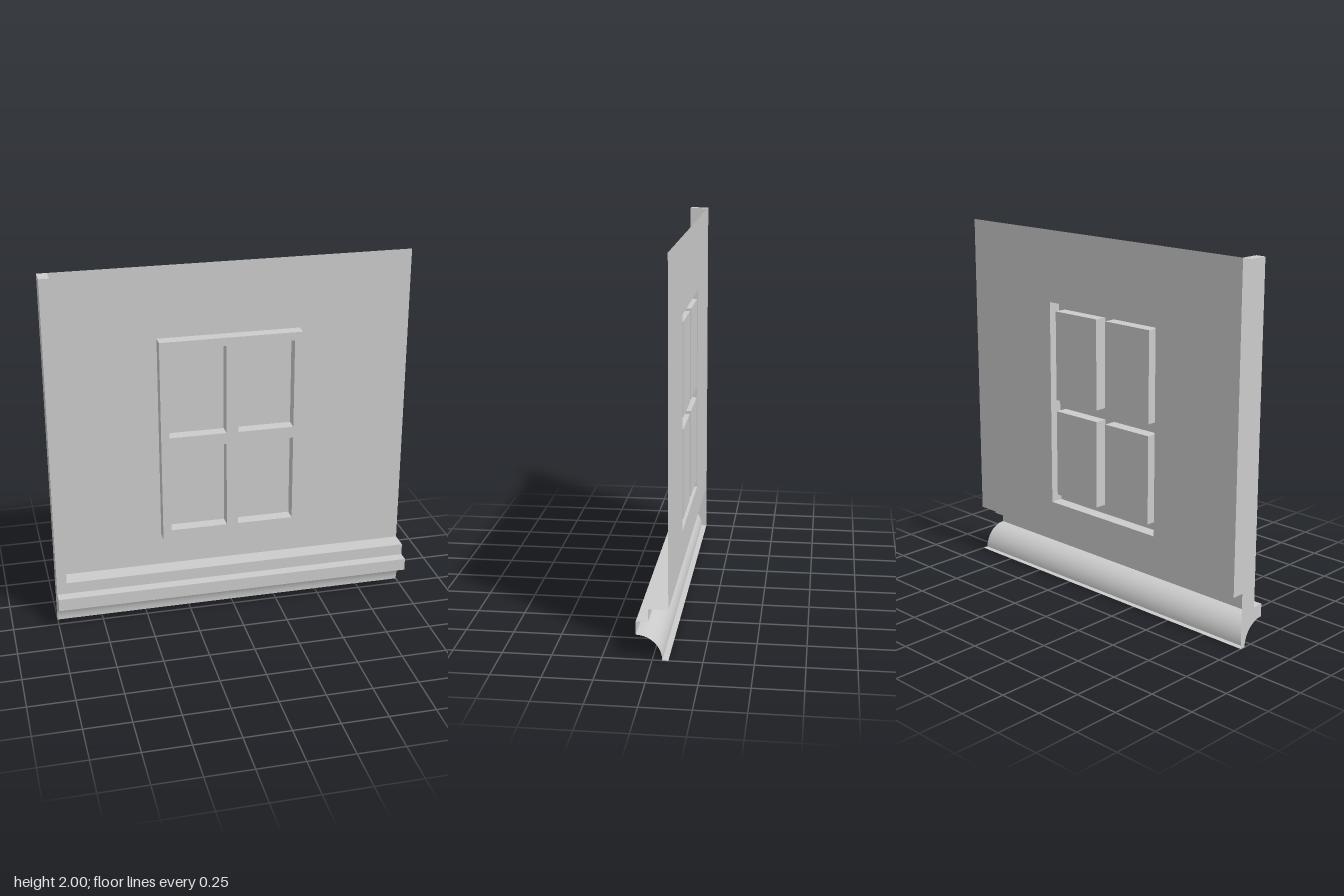
import * as THREE from 'three';

const BACK = -0.08, FACE = 0.02, FRAME = -0.01;
const POST = -0.945, LEDGE = 0.265;
const material = new THREE.MeshStandardMaterial({ color: 0xcccccc, side: THREE.DoubleSide });

// Thin sheet: a polyline swept along a straight vector
function ribbon(points, sweep, smooth = false) {
  const position = [], index = [];
  points.forEach((p, i) => {
    position.push(...p, p[0] + sweep[0], p[1] + sweep[1], p[2] + sweep[2]);
    const a = 2 * i;
    if (i < points.length - 1) index.push(a, a + 2, a + 3, a, a + 3, a + 1);
  });
  let geometry = new THREE.BufferGeometry();
  geometry.setAttribute('position', new THREE.Float32BufferAttribute(position, 3));
  geometry.setIndex(index);
  if (!smooth) geometry = geometry.toNonIndexed();
  geometry.computeVertexNormals();
  return geometry;
}

// Counter-clockwise corners of a rectangle
const corners = ([x0, x1, y0, y1]) => [[x0, y0], [x1, y0], [x1, y1], [x0, y1]];
const toVectors = (pts) => pts.map(([x, y]) => new THREE.Vector2(x, y));

// Flat panel facing +z, with rectangular holes
function panel(rect, z, holes = []) {
  const shape = new THREE.Shape(toVectors(corners(rect)));
  for (const h of holes) shape.holes.push(new THREE.Path(toVectors(corners(h).reverse())));
  return new THREE.ShapeGeometry(shape).translate(0, 0, z);
}

// Four sides of a rectangular opening or block, from the wall plane to the frame face
function sides(rect, inward = false) {
  const loop = corners(rect);
  loop.push(loop[0]);
  if (inward) loop.reverse();
  return ribbon(loop.map(([x, y]) => [x, y, BACK]), [0, 0, FRAME - BACK]);
}

export function createModel() {
  const group = new THREE.Group();
  const add = (name, geometry, parent = group) => {
    const mesh = new THREE.Mesh(geometry, material);
    mesh.name = name;
    parent.add(mesh);
  };

  // Wall sheet with the window opening
  const opening = [-0.395, 0.385, 0.45, 1.605];
  add('wall', panel([POST, 1, LEDGE, 2], BACK, [opening]));

  // Window: raised frame with four recessed panes
  const frame = new THREE.Group();
  frame.name = 'window';
  group.add(frame);
  const panes = [];
  for (const [x0, x1] of [[-0.35, -0.035], [0.03, 0.34]])
    for (const [y0, y1] of [[0.505, 0.995], [1.06, 1.56]]) panes.push([x0, x1, y0, y1]);
  add('frameFace', panel(opening, FRAME, panes), frame);
  add('frameSides', sides(opening), frame);
  for (const pane of panes) {
    add('paneReveal', sides(pane, true), frame);
    add('pane', panel(pane, BACK), frame);
  }

  // Corner post, open at the back
  add('post', ribbon([[-1, LEDGE, FACE], [POST, LEDGE, FACE], [POST, LEDGE, BACK]],
    [0, 2 - LEDGE, 0]));
  add('postTop', ribbon([[-1, 2, BACK], [-1, 2, FACE]], [POST + 1, 0, 0]));

  // Base moulding: ledge, band, sill, cove and foot, open at the back
  const cove = [];
  for (let i = 0; i <= 16; i++) {
    const a = Math.PI / 2 * (1 + i / 16);
    cove.push([0.08 + 0.13 * Math.cos(a), 0.13 * Math.sin(a)]);
  }
  const alongX = (pts) => pts.map(([z, y]) => [-1, y, z]);
  add('ledge', ribbon([[POST, LEDGE, BACK], [POST, LEDGE, FACE]], [1 - POST, 0, 0]));
  const sill = [[FACE, LEDGE], [FACE, 0.2], [0.08, 0.2], [0.08, 0.13]];
  add('sill', ribbon(alongX(sill), [2, 0, 0]));
  add('cove', ribbon(alongX(cove), [2, 0, 0], true));
  add('foot', ribbon(alongX([[-0.05, 0], [BACK, 0]]), [2, 0, 0]));

  // Closed end beside the post
  const outline = [[BACK, 0], [BACK, 2], [FACE, 2], ...sill.slice(1), ...cove];
  const end = new THREE.ShapeGeometry(new THREE.Shape(toVectors(outline)));
  add('endCap', end.rotateY(-Math.PI / 2).translate(-1, 0, 0));

  return group;
}
